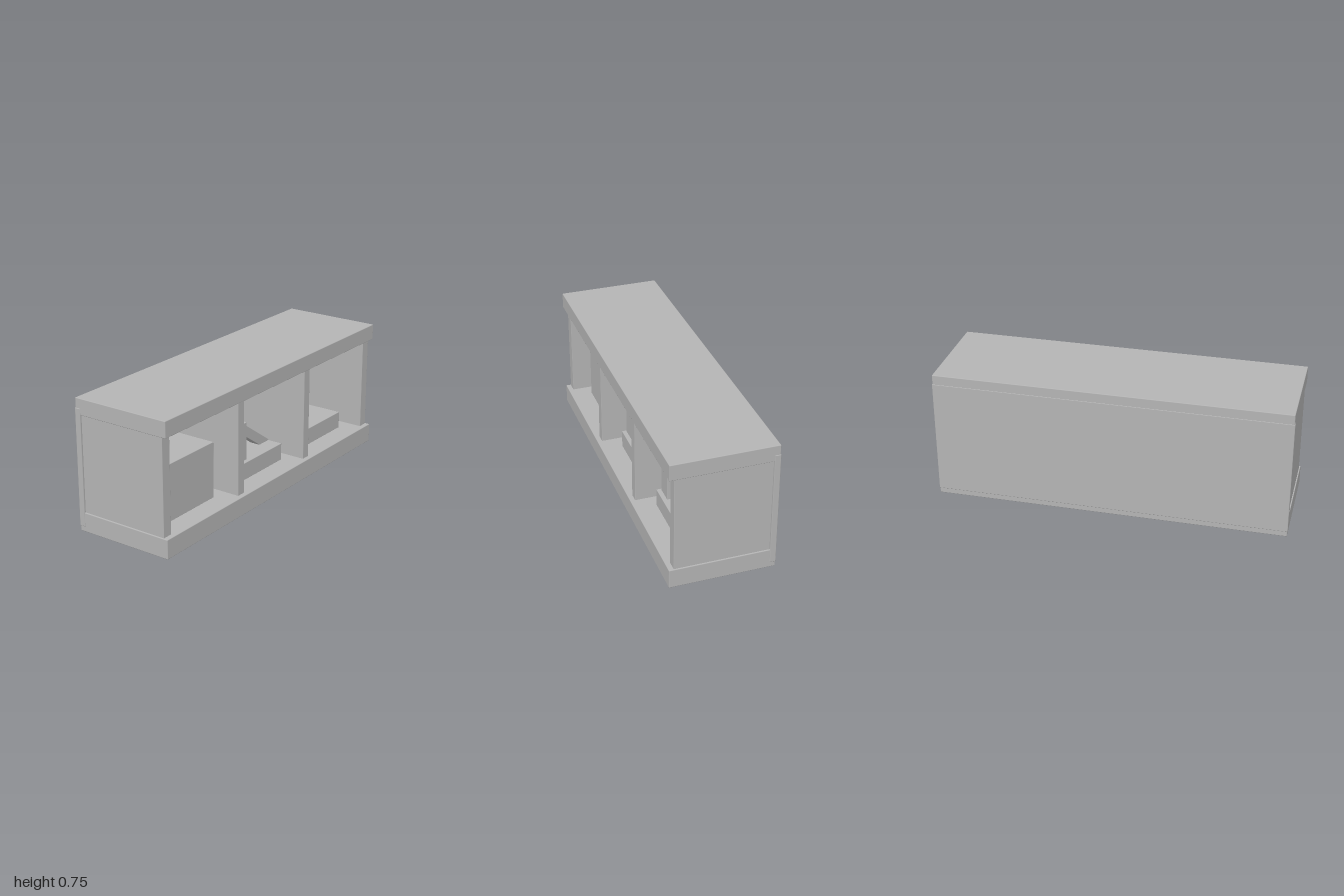
import * as THREE from 'three';
import { RoundedBoxGeometry } from 'three/addons/geometries/RoundedBoxGeometry.js';

export function createModel() {
  const model = new THREE.Group();
  model.name = 'displayCabinet';
  const grey = new THREE.MeshStandardMaterial({ name: 'grey', color: 0xb4b4b4 });

  // Slightly bevelled block given by its extents on each axis
  function block(name, [x0, x1], [y0, y1], [z0, z1], bevel = 0.004) {
    const geometry = new RoundedBoxGeometry(x1 - x0, y1 - y0, z1 - z0, 1, bevel);
    const mesh = new THREE.Mesh(geometry, grey);
    mesh.name = name;
    mesh.position.set((x0 + x1) / 2, (y0 + y1) / 2, (z0 + z1) / 2);
    model.add(mesh);
    return mesh;
  }

  // Top and bottom slabs with the back panel let into them
  block('topSlab', [-0.997, 0.997], [0.658, 0.75], [-0.293, 0.295]);
  block('bottomSlab', [-0.997, 0.997], [0, 0.11], [-0.293, 0.295]);
  block('backPanel', [-1, 1], [0.03, 0.695], [-0.295, -0.26]);

  // Upright walls: two ends and two dividers
  const uprights = [
    ['rightEnd', -0.99, -0.93],
    ['rightDivider', -0.35, -0.295],
    ['leftDivider', 0.29, 0.345],
    ['leftEnd', 0.93, 0.99],
  ];
  for (const [name, x0, x1] of uprights) {
    block(name, [x0, x1], [0.105, 0.663], [-0.262, 0.267], 0.003);
  }

  // Right bay: a plain block
  const depth = [-0.08, 0.17];
  block('displayBlock', [-0.86, -0.44], [0.108, 0.432], depth, 0.003);

  // Middle and left bays: a base with a post standing on it
  for (const [name, x] of [['middle', -0.21], ['left', 0.42]]) {
    block(name + 'Base', [x, x + 0.42], [0.108, 0.21], depth, 0.003);
    block(name + 'Post', [x + 0.01, x + 0.11], [0.205, 0.432], [-0.045, 0.145], 0.003);
  }

  // Sloping brace from the middle post down to its base
  const brace = block('brace', [-0.2065, 0.2065], [-0.0285, 0.0285], [0.02, 0.08], 0.002);
  brace.position.set(0.0235, 0.309, 0.05);
  brace.rotation.z = -Math.atan2(0.235, 0.34);

  return model;
}
